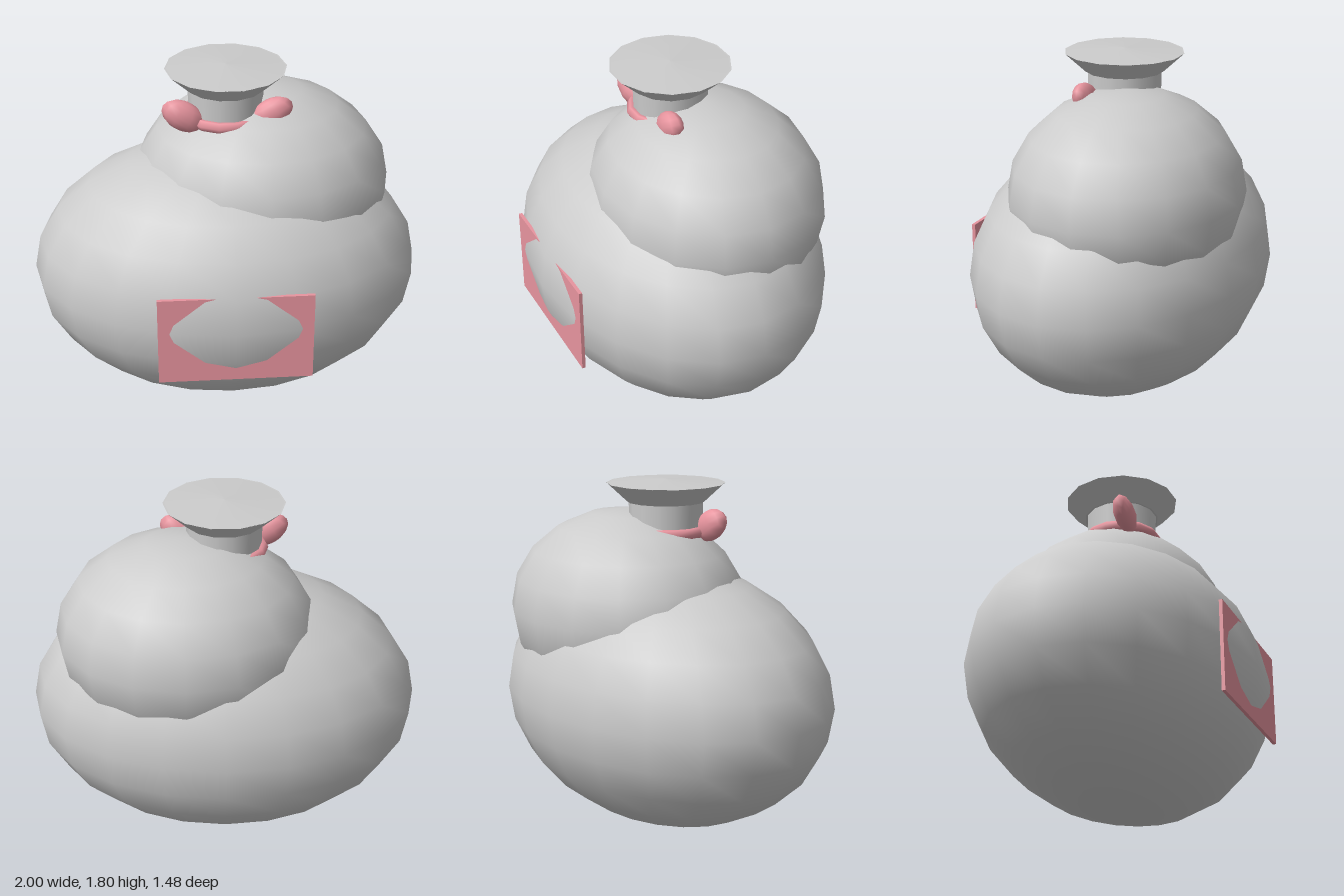
import * as THREE from 'three';

export function createModel() {
  const group = new THREE.Group();
  const grey = new THREE.MeshStandardMaterial({ color: 0xcccccc });
  const pink = new THREE.MeshStandardMaterial({ color: 0xe8959f });

  function add(name, geometry, material, x, y, z) {
    const mesh = new THREE.Mesh(geometry, material);
    mesh.name = name;
    mesh.position.set(x, y, z);
    group.add(mesh);
    return mesh;
  }

  const ellipsoid = (rx, ry, rz, around, down) =>
    new THREE.SphereGeometry(1, around, down).scale(rx, ry, rz);

  // Fourteen-sided round with corners on the x axis
  const round = (top, bottom, height, open) =>
    new THREE.CylinderGeometry(top, bottom, height, 14, 1, open).rotateY(Math.PI / 2);

  // Stuffed sack: wide base and a smaller bulge offset above it
  add('sackBase', ellipsoid(1, 0.685, 0.74, 20, 12), grey, 0, 0.688, 0);
  add('sackTop', ellipsoid(0.665, 0.526, 0.59, 16, 10), grey, 0.19, 1.118, -0.1);

  // Gathered neck, flared mouth and its shallow lid
  add('neck', round(0.19, 0.182, 0.29, false), grey, 0, 1.545, 0);
  add('mouth', round(0.303, 0.2, 0.095, false), grey, 0, 1.737, 0);
  add('mouthLid', round(0, 0.303, 0.018, true), grey, 0, 1.793, 0);

  // Ribbon round the neck
  add('ribbon', new THREE.TorusGeometry(0.19, 0.03, 6, 14).rotateX(Math.PI / 2), pink, 0, 1.543, 0);

  // Two drooping bow loops, mirrored
  for (const side of [-1, 1]) {
    const loop = add(side < 0 ? 'rightBowLoop' : 'leftBowLoop',
      ellipsoid(0.115, 0.075, 0.055, 10, 8), pink, side * 0.218, 1.58, 0.115);
    loop.rotation.z = side * 0.55;
  }

  // Flat patch with the belly bulging through it
  add('patch', new THREE.BoxGeometry(0.766, 0.476, 0.018), pink, 0, 0.642, 0.688);

  return group;
}
